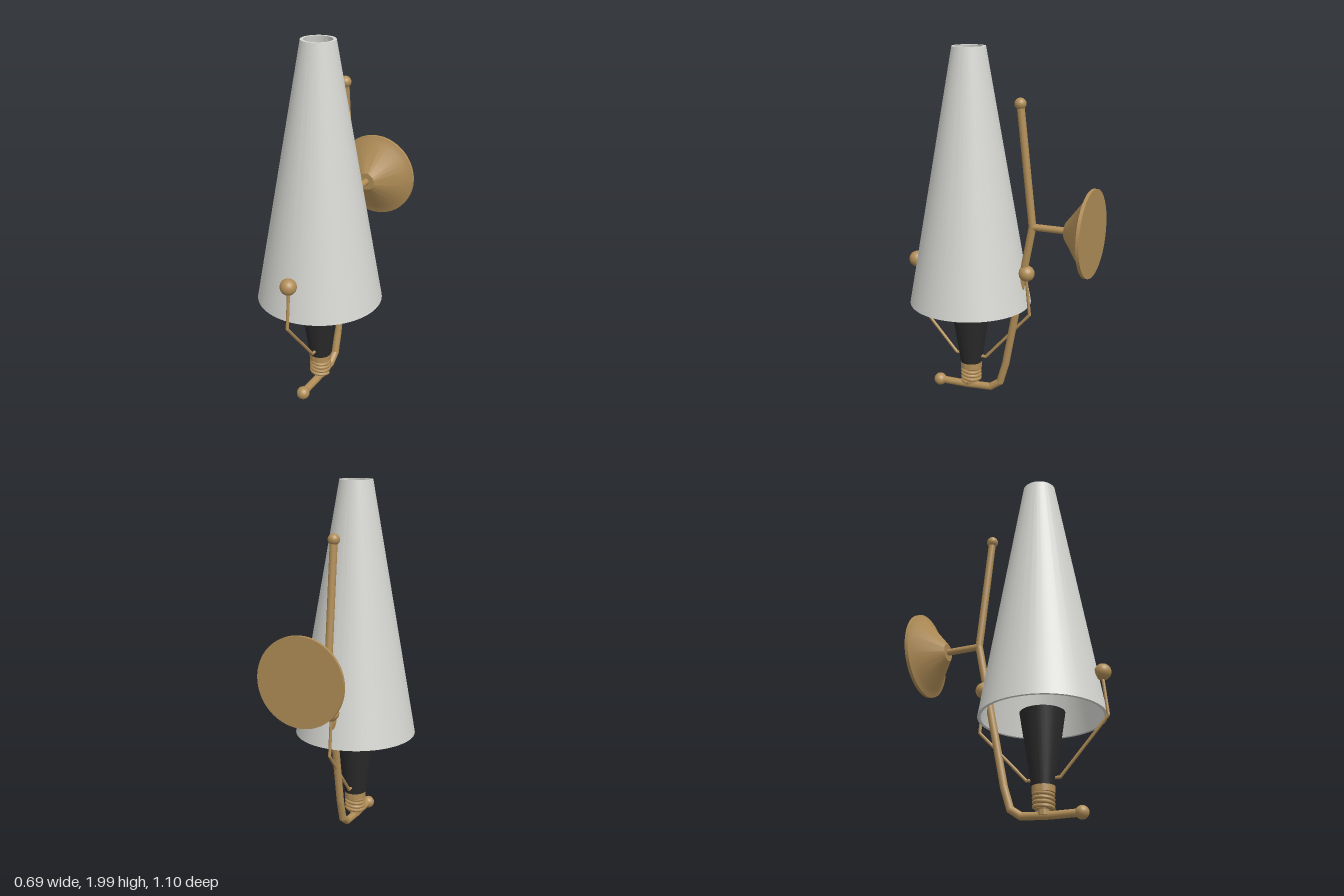
import * as THREE from 'three';
import { toCreasedNormals } from 'three/addons/utils/BufferGeometryUtils.js';

const AXIS_Z = 0.167; // the shade stands in front of the wall bracket

export function createModel() {
  const model = new THREE.Group();
  model.name = 'wallLamp';

  const colour = (name, hex) => {
    const m = new THREE.MeshStandardMaterial({ color: hex });
    m.name = name;
    return m;
  };
  const brass = colour('brass', 0xb08d57);
  const black = colour('black', 0x2a2a2a);
  const white = colour('shadeWhite', 0xd6d6d2);

  const add = (parent, name, geometry, material, x = 0, y = 0, z = 0) => {
    const mesh = new THREE.Mesh(geometry, material);
    mesh.name = name;
    mesh.position.set(x, y, z);
    parent.add(mesh);
    return mesh;
  };
  const lathe = (points, segments = 64) => toCreasedNormals(
    new THREE.LatheGeometry(points.map(([r, y]) => new THREE.Vector2(r, y)), segments), 0.5);
  const ball = (parent, name, r, y, z) =>
    add(parent, name, new THREE.SphereGeometry(r, 32, 20), brass, 0, y, z);

  // Bent rod through [z, y] points, with rounded elbows
  const bentRod = (name, points, radius) => {
    const group = new THREE.Group();
    group.name = name;
    const up = new THREE.Vector3(0, 1, 0);
    const path = points.map(([z, y]) => new THREE.Vector3(0, y, z));
    path.slice(1).forEach((b, i) => {
      const dir = b.clone().sub(path[i]);
      const rod = add(group, 'rod', new THREE.CylinderGeometry(radius, radius, dir.length(), 20), brass);
      rod.position.copy(path[i]).addScaledVector(dir, 0.5);
      rod.quaternion.setFromUnitVectors(up, dir.normalize());
      if (i < path.length - 2) {
        add(group, 'elbow', new THREE.SphereGeometry(radius, 20, 14), brass, 0, b.y, b.z);
      }
    });
    return group;
  };

  // Hollow conical shade, open at both ends
  add(model, 'shade', lathe([
    [0.343, 0.568], [0.092, 2], [0.075, 2], [0.326, 0.568], [0.343, 0.568],
  ], 96), white, 0, 0, AXIS_Z);

  // Tapered socket, threaded collar and stem
  add(model, 'socket', lathe([[0, 0.195], [0.061, 0.195], [0.121, 0.595], [0, 0.595]]),
    black, 0, 0, AXIS_Z);
  add(model, 'collar', lathe([
    [0, 0.045], [0.03, 0.045], [0.03, 0.075], [0.046, 0.075], [0.046, 0.16],
    [0.061, 0.16], [0.061, 0.195], [0, 0.195],
  ], 40), brass, 0, 0, AXIS_Z);
  const turns = [];
  for (let i = 0; i <= 64; i++) {
    const a = (i / 16) * Math.PI * 2;
    turns.push(new THREE.Vector3(Math.cos(a) * 0.051, 0.075 + (i / 64) * 0.088, Math.sin(a) * 0.051));
  }
  add(model, 'thread', new THREE.TubeGeometry(new THREE.CatmullRomCurve3(turns), 160, 0.0095, 8),
    brass, 0, 0, AXIS_Z);

  // Main arm with a ball at each end
  model.add(bentRod('mainArm', [
    [0.37, 0.042], [0.2, 0.043], [0.045, 0.053], [-0.015, 0.095],
    [-0.05, 0.215], [-0.205, 1.045], [-0.13, 1.71],
  ], 0.021));
  ball(model, 'lowerBall', 0.036, 0.042, 0.37);
  ball(model, 'upperBall', 0.032, 1.71, -0.13);

  // Front and back shade holders, mirrored about the shade axis
  for (const s of [1, -1]) {
    const holder = bentRod('shadeHolder', [
      [s * 0.05, 0.235], [s * 0.092, 0.235], [s * 0.36, 0.533], [s * 0.335, 0.775],
    ], 0.0085);
    holder.position.z = AXIS_Z;
    ball(holder, 'holderBall', 0.045, 0.775, s * 0.34);
    const pin = add(holder, 'pin', new THREE.CylinderGeometry(0.012, 0.012, 0.05, 16),
      brass, 0, 0.775, s * 0.307);
    pin.rotation.x = Math.PI / 2;
    model.add(holder);
  }

  // Wall bracket and flared wall plate
  model.add(bentRod('bracket', [[-0.205, 1.045], [-0.41, 1.045]], 0.019));
  const plate = add(model, 'wallPlate', lathe([
    [0, 0], [0.05, 0], [0.2, 0.118], [0.24, 0.132], [0.24, 0.15], [0, 0.15],
  ]), brass, 0, 1.045, -0.398);
  plate.rotation.x = -Math.PI / 2;

  return model;
}
